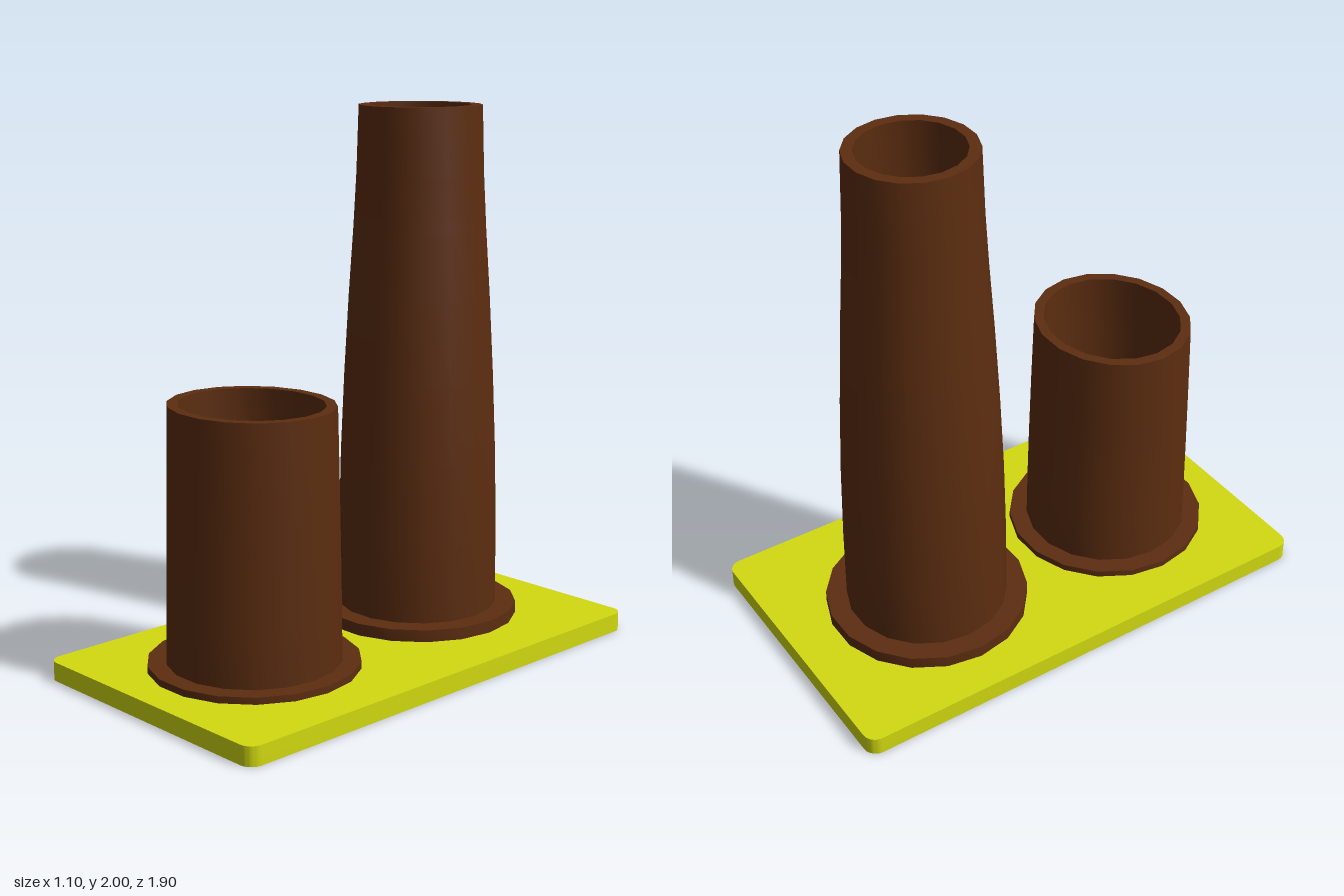
import * as THREE from 'three';
import { toCreasedNormals } from 'three/addons/utils/BufferGeometryUtils.js';

const SIDES = 18;
const yellow = new THREE.MeshStandardMaterial({ color: 0xd2da10, side: THREE.DoubleSide });
const brown = new THREE.MeshStandardMaterial({ color: 0x5c2d10, side: THREE.DoubleSide });

// Rounded tray, open underneath
function createBase() {
  const w = 0.55, d = 0.95, r = 0.05;
  const s = new THREE.Shape();
  s.absarc(w - r, d - r, r, 0, Math.PI / 2);
  s.absarc(-w + r, d - r, r, Math.PI / 2, Math.PI);
  s.absarc(-w + r, -d + r, r, Math.PI, Math.PI * 1.5);
  s.absarc(w - r, -d + r, r, Math.PI * 1.5, Math.PI * 2);
  const solid = new THREE.ExtrudeGeometry(s, { depth: 0.07, bevelEnabled: false, curveSegments: 5 });
  // The first half of the lid triangles is the bottom; leave it out
  const start = solid.groups[0].count / 2;
  const shell = new THREE.BufferGeometry();
  shell.setAttribute('position',
    new THREE.BufferAttribute(solid.attributes.position.array.slice(start * 3), 3));
  shell.rotateX(-Math.PI / 2);
  const base = new THREE.Mesh(toCreasedNormals(shell, 0.6), yellow);
  base.name = 'base';
  return base;
}

// Hollow pipe with a foot flange; outer is a list of [radius, height] from foot to rim
function createPipe(name, { outer, wall, flangeRadius, bottom, x, z, squeeze }) {
  const rim = outer[outer.length - 1];
  const profile = [
    [flangeRadius, bottom], [flangeRadius, outer[0][1]],
    ...outer,
    ...outer.slice(1).reverse().map(([r, y]) => [r - wall, y]),
    [outer[0][0] - wall, bottom],
  ].map(([r, y]) => new THREE.Vector2(r, y));
  const geo = new THREE.LatheGeometry(profile, SIDES, Math.PI / 2);
  // Narrow the pipe front to back towards the rim
  const p = geo.attributes.position;
  for (let i = 0; i < p.count; i++) {
    const t = Math.max(0, (p.getY(i) - 0.1) / (rim[1] - 0.1));
    p.setZ(i, p.getZ(i) * (1 - squeeze * Math.pow(t, 1.4)));
  }
  const pipe = new THREE.Mesh(toCreasedNormals(geo, 0.6), brown);
  pipe.name = name;
  pipe.position.set(x, 0, z);
  return pipe;
}

export function createModel() {
  const model = new THREE.Group();
  model.name = 'twinChimneys';
  model.add(createBase());
  model.add(createPipe('tallChimney', {
    outer: [[0.302, 0.115], [0.3, 0.4], [0.293, 0.7], [0.28, 1.0], [0.263, 1.3],
      [0.246, 1.55], [0.235, 1.75], [0.227, 2]],
    wall: 0.04, flangeRadius: 0.38, bottom: 0.07, x: -0.025, z: -0.397, squeeze: 0,
  }));
  model.add(createPipe('shortChimney', {
    outer: [[0.313, 0.095], [0.313, 0.3], [0.313, 0.5], [0.313, 0.75], [0.313, 1.015]],
    wall: 0.04, flangeRadius: 0.381, bottom: 0.06, x: -0.003, z: 0.45, squeeze: 0.1,
  }));
  return model;
}
